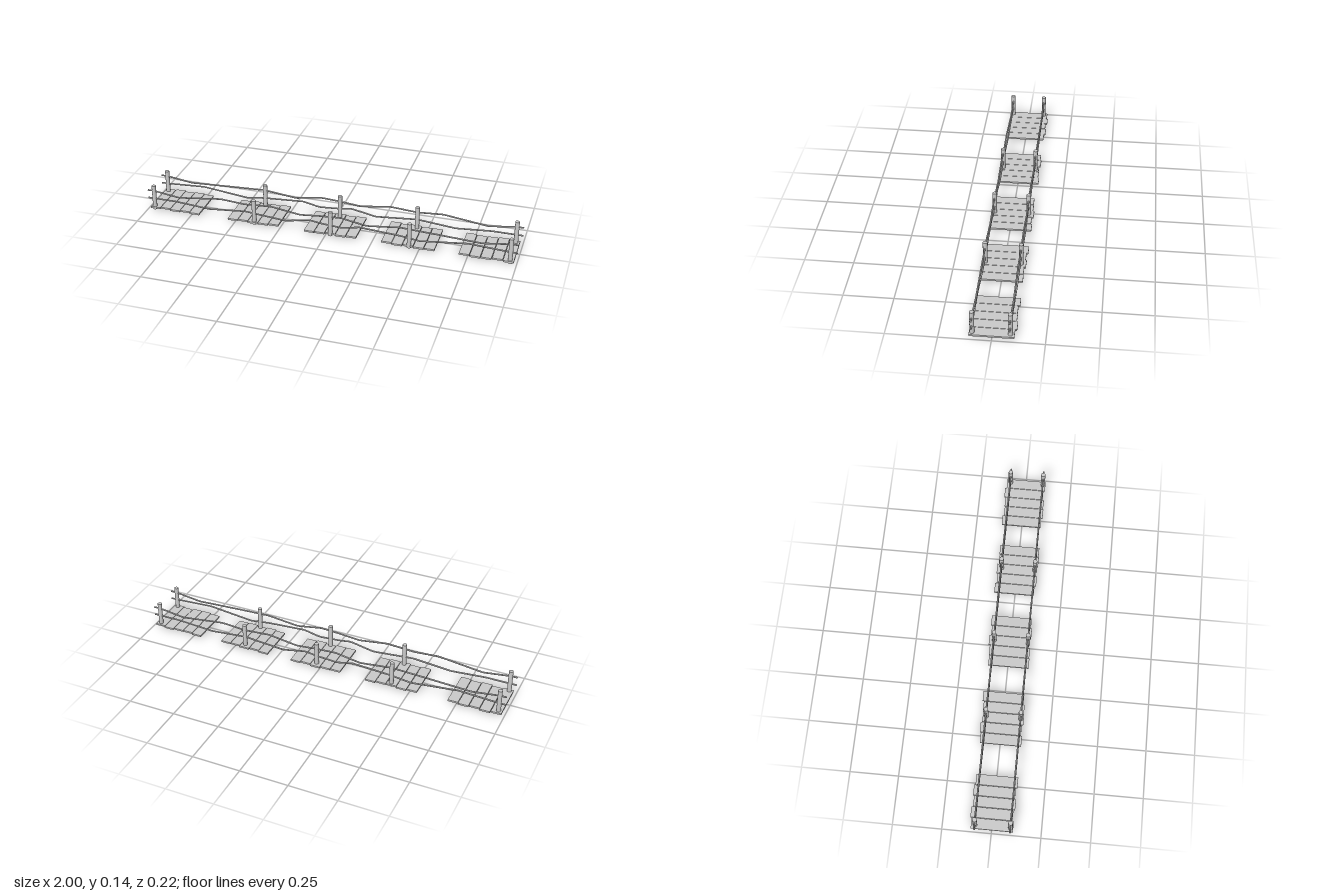
import * as THREE from 'three';

const POSTS = [-0.965, -0.395, 0.025, 0.445, 0.965];
const SIDES = [{ name: 'front', z: 0.094, dir: -1 }, { name: 'back', z: -0.085, dir: 1 }];

// Rope heights along the back side; the front side runs them end for end
const UPPER = [[-1, 0.108], [-0.965, 0.108], [-0.82, 0.088], [-0.58, 0.1], [-0.395, 0.108],
  [-0.22, 0.088], [-0.08, 0.112], [0.025, 0.106], [0.14, 0.095], [0.3, 0.118], [0.445, 0.108],
  [0.58, 0.118], [0.82, 0.088], [0.965, 0.108], [1, 0.108]];
const LOWER = [[-1, 0.062], [-0.965, 0.062], [-0.75, 0.074], [-0.5, 0.046], [-0.395, 0.06],
  [-0.18, 0.073], [-0.09, 0.054], [0.025, 0.062], [0.09, 0.072], [0.22, 0.046], [0.445, 0.066],
  [0.65, 0.047], [0.84, 0.062], [0.965, 0.062], [1, 0.062]];

export function createModel() {
  const model = new THREE.Group();
  const material = new THREE.MeshStandardMaterial({ color: 0xcccccc });
  const add = (name, geometry, x, y, z) => {
    const mesh = new THREE.Mesh(geometry, material);
    mesh.name = name;
    mesh.position.set(x, y, z);
    model.add(mesh);
  };

  // Sagging rope made of straight runs between knots
  const rope = (points, dir) => {
    const path = new THREE.CurvePath();
    const knots = points.map(([x, y]) => new THREE.Vector3(x * dir, y, 0));
    for (let i = 1; i < knots.length; i++) path.add(new THREE.LineCurve3(knots[i - 1], knots[i]));
    return new THREE.TubeGeometry(path, 120, 0.0043, 8, false);
  };

  // Handrails: round posts with two ropes on each side
  const postGeometry = new THREE.CylinderGeometry(0.0115, 0.0115, 0.139, 16);
  const capGeometry = new THREE.CircleGeometry(0.0043, 8).rotateY(Math.PI / 2);
  for (const { name, z, dir } of SIDES) {
    for (const x of POSTS) add(name + 'Post', postGeometry, x, 0.0695, z);
    add(name + 'UpperRope', rope(UPPER, dir), 0, 0, z);
    add(name + 'LowerRope', rope(LOWER, dir), 0, 0, z);
    for (const y of [0.108, 0.062]) {
      add(name + 'RopeEnd', capGeometry, 1, y, z);
      add(name + 'RopeEnd', capGeometry.clone().rotateY(Math.PI), -1, y, z);
    }
  }

  // Walkway: five sections of five slightly staggered planks
  const centers = [-0.845, -0.4, 0.025, 0.44, 0.845];
  const stagger = [0.001, -0.006, 0.002, -0.004, 0.003];
  const plankGeometry = new THREE.BoxGeometry(0.054, 0.009, 0.213);
  centers.forEach((cx, section) => {
    for (let i = 0; i < 5; i++) {
      const shift = stagger[(i + section * 2) % 5];
      add('plank', plankGeometry, cx + (i - 2) * 0.0565, 0.0115, shift);
    }
  });

  return model;
}
